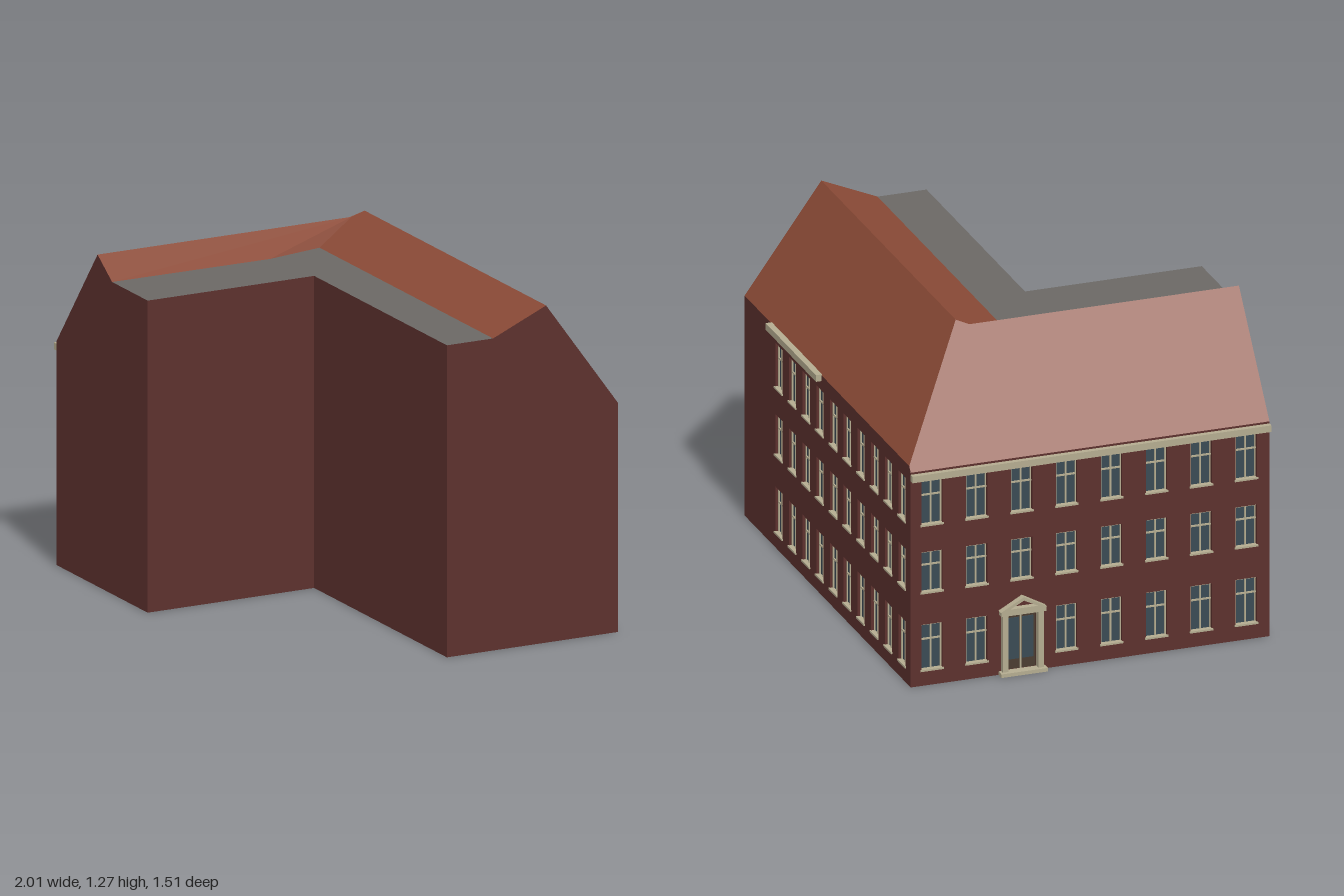
import * as THREE from 'three';

const mat = (color) => new THREE.MeshStandardMaterial({ color, side: THREE.DoubleSide, flatShading: true });
const BRICK = mat(0x5c302d), TILE = mat(0x8a4a36), FELT = mat(0x6b6865);
const TRIM = mat(0xb4ac90), GLASS = mat(0x3a4a54), WOOD = mat(0x4a3c30);

// plan and heights, in the building's own frame: x along the back wing, z along the side wing
const LEN = 1.73, DEP = 1.39, WING = 0.705, FLAT = 1.18;
const BACK_EAVE = 0.865, BACK_RIDGE = 1.275, SIDE_EAVE = 0.845, SIDE_RIDGE = 1.255;
const WINDOW_ROWS = [[0.06, 0.24], [0.365, 0.525], [0.63, 0.805]];

// flat polygon fanned from its first corner
function sheet(parent, name, material, pts) {
  const g = new THREE.BufferGeometry();
  const pos = [];
  for (let i = 1; i < pts.length - 1; i++) pos.push(...pts[0], ...pts[i], ...pts[i + 1]);
  g.setAttribute('position', new THREE.Float32BufferAttribute(pos, 3));
  g.computeVertexNormals();
  const m = new THREE.Mesh(g, material);
  m.name = name;
  parent.add(m);
}

function box(parent, name, material, w, h, d, x, y, z) {
  const m = new THREE.Mesh(new THREE.BoxGeometry(w, h, d), material);
  m.name = name;
  m.position.set(x, y, z);
  parent.add(m);
}

// glazing, frame bars and sill for one opening; z = 0 is the outer wall face, +z is inward
function addWindow(parent, x, y0, y1, w) {
  const win = new THREE.Group(), h = y1 - y0, mid = (y0 + y1) / 2, t = 0.006, z = 0.013;
  win.name = 'window';
  box(win, 'glass', GLASS, w, h, 0.003, x, mid, 0.017);
  for (const s of [-1, 1]) box(win, 'frameSide', TRIM, t * 0.7, h, t, x + s * (w - t) / 2, mid, z);
  box(win, 'mullion', TRIM, t, h, t, x, mid, z);
  box(win, 'transom', TRIM, w, t, t, x, y0 + h * 0.66, z);
  box(win, 'frameTop', TRIM, w, t, t, x, y1 - t / 2, z);
  box(win, 'sill', TRIM, w + 0.008, 0.007, 0.022, x, y0, 0.006);
  parent.add(win);
}

// doorway with posts, lintel, pediment and step
function addDoor(parent, x, w, h) {
  const door = new THREE.Group();
  door.name = 'entrance';
  box(door, 'doorPanel', WOOD, w, h, 0.004, x, h / 2 + 0.01, 0.017);
  for (const s of [-1, 1]) {
    box(door, 'doorGlass', GLASS, w * 0.36, h * 0.72, 0.004, x + s * w * 0.23, h * 0.58, 0.013);
    box(door, 'doorPost', TRIM, 0.022, h + 0.01, 0.026, x + s * (w / 2 + 0.009), h / 2 + 0.01, -0.005);
  }
  box(door, 'doorMullion', TRIM, 0.006, h, 0.006, x, h / 2 + 0.01, 0.011);
  box(door, 'lintel', TRIM, w + 0.055, 0.018, 0.034, x, h + 0.02, -0.008);
  box(door, 'step', TRIM, w + 0.06, 0.014, 0.036, x, 0.007, -0.014);
  const half = w / 2 + 0.03;
  const gable = new THREE.Shape([[-half, 0], [half, 0], [0, 0.05]].map((p) => new THREE.Vector2(...p)));
  gable.holes.push(new THREE.Path([[-half * 0.6, 0.008], [0, 0.036], [half * 0.6, 0.008]].map((p) => new THREE.Vector2(...p))));
  const ped = new THREE.Mesh(new THREE.ExtrudeGeometry(gable, { depth: 0.026, bevelEnabled: false }), TRIM);
  ped.name = 'pediment';
  ped.position.set(x, h + 0.028, -0.025);
  door.add(ped);
  parent.add(door);
}

// wall pierced by window openings
function facade(name, len, height, cols, w, doorX) {
  const group = new THREE.Group();
  group.name = name;
  const rect = (C, x0, x1, y0, y1) =>
    new C([[x0, y0], [x1, y0], [x1, y1], [x0, y1]].map((p) => new THREE.Vector2(...p)));
  const shape = rect(THREE.Shape, 0, len, 0, height);
  for (const x of cols) {
    WINDOW_ROWS.forEach(([y0, y1], row) => {
      if (row === 0 && x === doorX) {
        shape.holes.push(rect(THREE.Path, x - 0.06, x + 0.06, 0.01, 0.235));
        addDoor(group, x, 0.12, 0.225);
      } else {
        shape.holes.push(rect(THREE.Path, x - w / 2, x + w / 2, y0, y1));
        addWindow(group, x, y0, y1, w);
      }
    });
  }
  const wall = new THREE.Mesh(new THREE.ExtrudeGeometry(shape, { depth: 0.02, bevelEnabled: false }), BRICK);
  wall.name = 'piercedWall';
  group.add(wall);
  return group;
}

export function createModel() {
  const model = new THREE.Group();
  model.name = 'cornerBuilding';
  const b = new THREE.Group();
  b.name = 'building';
  b.position.set(-0.69, 0, -0.76);
  b.rotation.y = -0.2147;
  model.add(b);

  // street walls
  const FACADE = 1.45;
  const backCols = Array.from({ length: 10 }, (_, i) => 0.09 + 0.1425 * i);
  const back = facade('backFacade', FACADE, SIDE_EAVE, backCols, 0.075);
  b.add(back);
  sheet(b, 'backWallTop', BRICK, [[0, SIDE_EAVE, 0], [FACADE, SIDE_EAVE, 0], [FACADE, BACK_EAVE, 0], [0.015, BACK_EAVE, 0]]);
  sheet(b, 'backBlankWall', BRICK, [[FACADE, 0, 0], [LEN, 0, 0], [LEN, BACK_EAVE, 0], [FACADE, BACK_EAVE, 0]]);
  box(back, 'backCornice', TRIM, 0.525, 0.026, 0.024, 1.19, 0.856, -0.01);

  const sideCols = Array.from({ length: 8 }, (_, i) => DEP - 0.082 - 0.174 * i);
  const side = facade('sideFacade', DEP, SIDE_EAVE, sideCols, 0.082, sideCols[2]);
  side.rotation.y = Math.PI / 2;
  side.position.z = DEP;
  b.add(side);
  box(side, 'sideCornice', TRIM, DEP, 0.026, 0.022, DEP / 2, 0.824, -0.009);

  // courtyard walls
  sheet(b, 'courtWallBackWing', BRICK, [[WING, 0, WING], [LEN, 0, WING], [LEN, FLAT, WING], [WING, FLAT, WING]]);
  sheet(b, 'courtWallSideWing', BRICK, [[WING, 0, DEP], [WING, 0, WING], [WING, FLAT, WING], [WING, FLAT, DEP]]);

  // end walls, fanned from the inner corner of the profile
  sheet(b, 'backWingEndWall', BRICK, [[0.515, FLAT], [0.297, BACK_RIDGE], [0, BACK_EAVE], [0, 0], [WING, 0], [WING, FLAT]]
    .map(([z, y]) => [LEN, y, z]));
  sheet(b, 'sideWingEndWall', BRICK, [[0.43, FLAT], [WING, FLAT], [WING, 0], [0, 0], [0, SIDE_EAVE], [0.318, SIDE_RIDGE]]
    .map(([x, y]) => [x, y, DEP]));

  // tiled slopes and the flat roof behind them
  const hip = [0.33, BACK_RIDGE, 0.297], join = [0.318, SIDE_RIDGE, 0.345], valley = [0.39, FLAT, 0.515];
  const corner = [0.0155, BACK_EAVE, 0], elbow = [0.435, FLAT, 0.742];
  sheet(b, 'backRoofOuter', TILE, [corner, hip, [LEN, BACK_RIDGE, 0.297], [LEN, BACK_EAVE, 0]]);
  sheet(b, 'backRoofInner', TILE, [[LEN, BACK_RIDGE, 0.297], hip, join, valley, [LEN, FLAT, 0.515]]);
  sheet(b, 'sideRoofOuter', TILE, [[0, SIDE_EAVE, DEP], [0.318, SIDE_RIDGE, DEP], join, hip, corner, [0, SIDE_EAVE, 0]]);
  sheet(b, 'sideRoofInner', TILE, [join, [0.318, SIDE_RIDGE, DEP], [0.43, FLAT, DEP], elbow, valley]);
  sheet(b, 'flatRoof', FELT, [[WING, FLAT, WING], [LEN, FLAT, WING], [LEN, FLAT, 0.515], valley, elbow, [0.43, FLAT, DEP], [WING, FLAT, DEP]]);

  return model;
}
